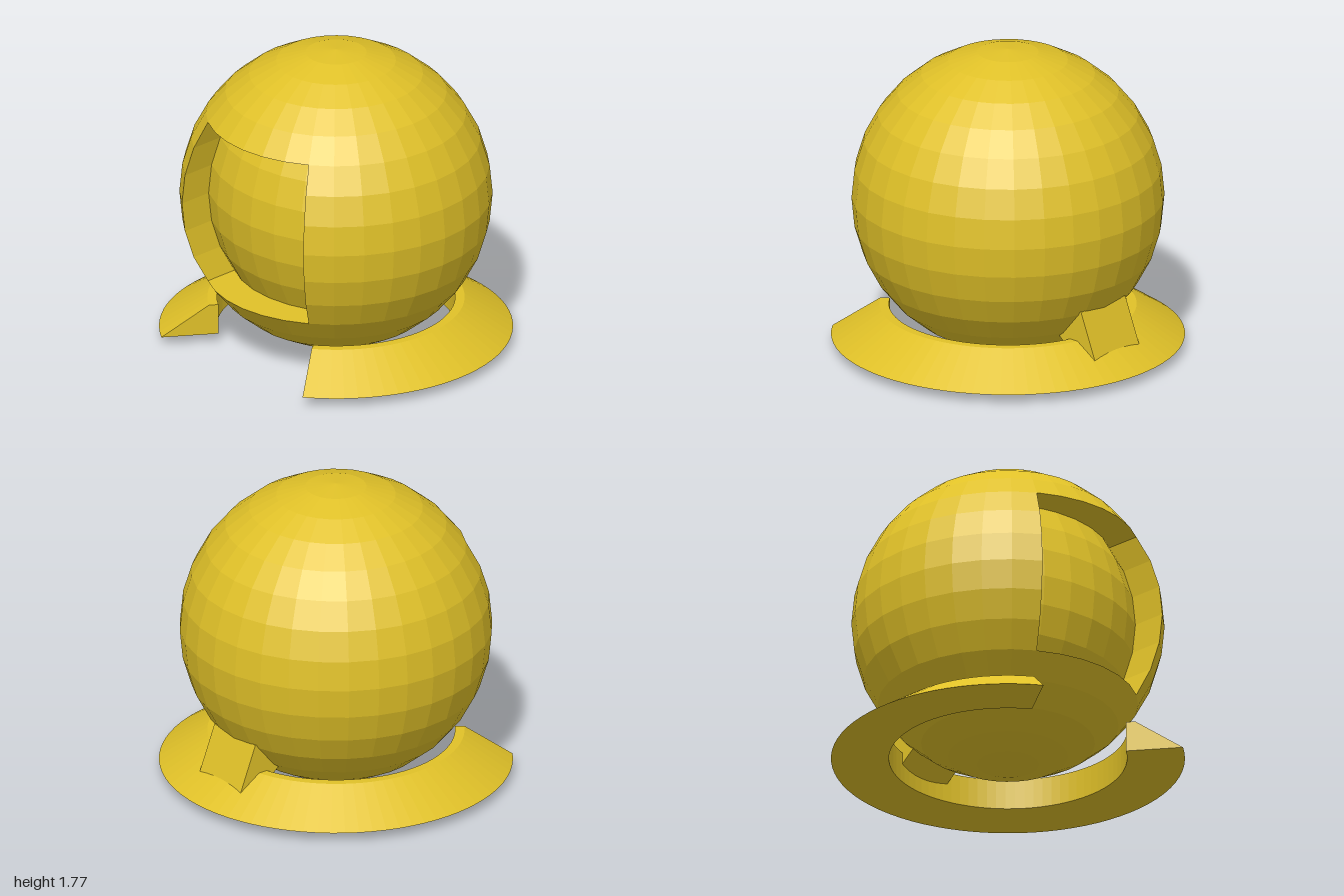
import * as THREE from 'three';
import { mergeGeometries } from 'three/addons/utils/BufferGeometryUtils.js';

const R = 0.885, CY = 0.89, CZ = 0.09; // ball radius and centre
const DEPTH = 0.21;                    // recess depth of the front window
const rad = THREE.MathUtils.degToRad;
const HALF = rad(33.75);               // half angle of the window
const STEP = rad(11.25);               // one facet

export function createModel() {
  const model = new THREE.Group();
  const yellow = new THREE.MeshStandardMaterial({
    color: 0xe0c128, flatShading: true, side: THREE.DoubleSide,
  });
  yellow.name = 'yellow';

  const add = (name, geometry, y = 0) => {
    const mesh = new THREE.Mesh(geometry, yellow);
    mesh.name = name;
    mesh.position.set(0, y, CZ);
    model.add(mesh);
    return mesh;
  };

  // Faceted ball shell with a six by six facet window left open at the front
  const Q = Math.PI / 2, TAU = Math.PI * 2;
  add('ballShell', mergeGeometries([
    new THREE.SphereGeometry(R, 32, 5, 0, TAU, 0, Q - HALF),
    new THREE.SphereGeometry(R, 32, 5, 0, TAU, Q + HALF, Q - HALF),
    new THREE.SphereGeometry(R, 26, 6, Q + HALF, TAU - 2 * HALF, Q - HALF, 2 * HALF),
  ]), CY);

  // Window facets pushed straight back
  const panel = new THREE.SphereGeometry(R, 6, 6, Q - HALF, 2 * HALF, Q - HALF, 2 * HALF);
  panel.translate(0, 0, -DEPTH);
  add('recessedPanel', panel, CY);

  // Walls of the recess, following the window rim anticlockwise
  const rim = [];
  for (let side = 0; side < 4; side++) {
    for (let i = 0; i < 6; i++) {
      const t = -HALF + i * STEP;
      const [az, lat] = [[t, -HALF], [HALF, t], [-t, HALF], [-HALF, -t]][side];
      rim.push([
        R * Math.cos(lat) * Math.sin(az),
        R * Math.sin(lat),
        R * Math.cos(lat) * Math.cos(az),
      ]);
    }
  }
  const wall = [];
  rim.forEach((a, i) => {
    const b = rim[(i + 1) % rim.length];
    const a2 = [a[0], a[1], a[2] - DEPTH], b2 = [b[0], b[1], b[2] - DEPTH];
    wall.push(...a, ...b, ...b2, ...a, ...b2, ...a2);
  });
  const wallGeometry = new THREE.BufferGeometry();
  wallGeometry.setAttribute('position', new THREE.Float32BufferAttribute(wall, 3));
  wallGeometry.computeVertexNormals();
  add('recessWalls', wallGeometry, CY);

  // Open sloped base ring with flat ends
  const profile = [[0.673, 0.06], [1, 0.06], [0.727, 0.24], [0.673, 0.24], [0.673, 0.06]]
    .map(([x, y]) => new THREE.Vector2(x, y));
  const gap = rad(34.9);
  add('baseRing', new THREE.LatheGeometry(profile, 64, gap, TAU - 2 * gap));
  for (const s of [1, -1]) {
    const end = new THREE.ShapeGeometry(new THREE.Shape(profile.slice(0, 4)));
    end.rotateY(s * gap - Q);
    add(s > 0 ? 'ringEndLeft' : 'ringEndRight', end);
  }

  // Wedge bracket joining the ball to the ring at the back
  const wedge = new THREE.Shape([
    [0.84, 0.145], [0.73, 0.42], [0.55, 0.42], [0.55, 0.25], [0.68, 0.145],
  ].map(([x, y]) => new THREE.Vector2(x, y)));
  const bracket = new THREE.ExtrudeGeometry(wedge, { depth: 0.37, bevelEnabled: false });
  bracket.translate(0, 0, -0.185);
  bracket.rotateY(Q);
  add('backBracket', bracket);

  return model;
}
